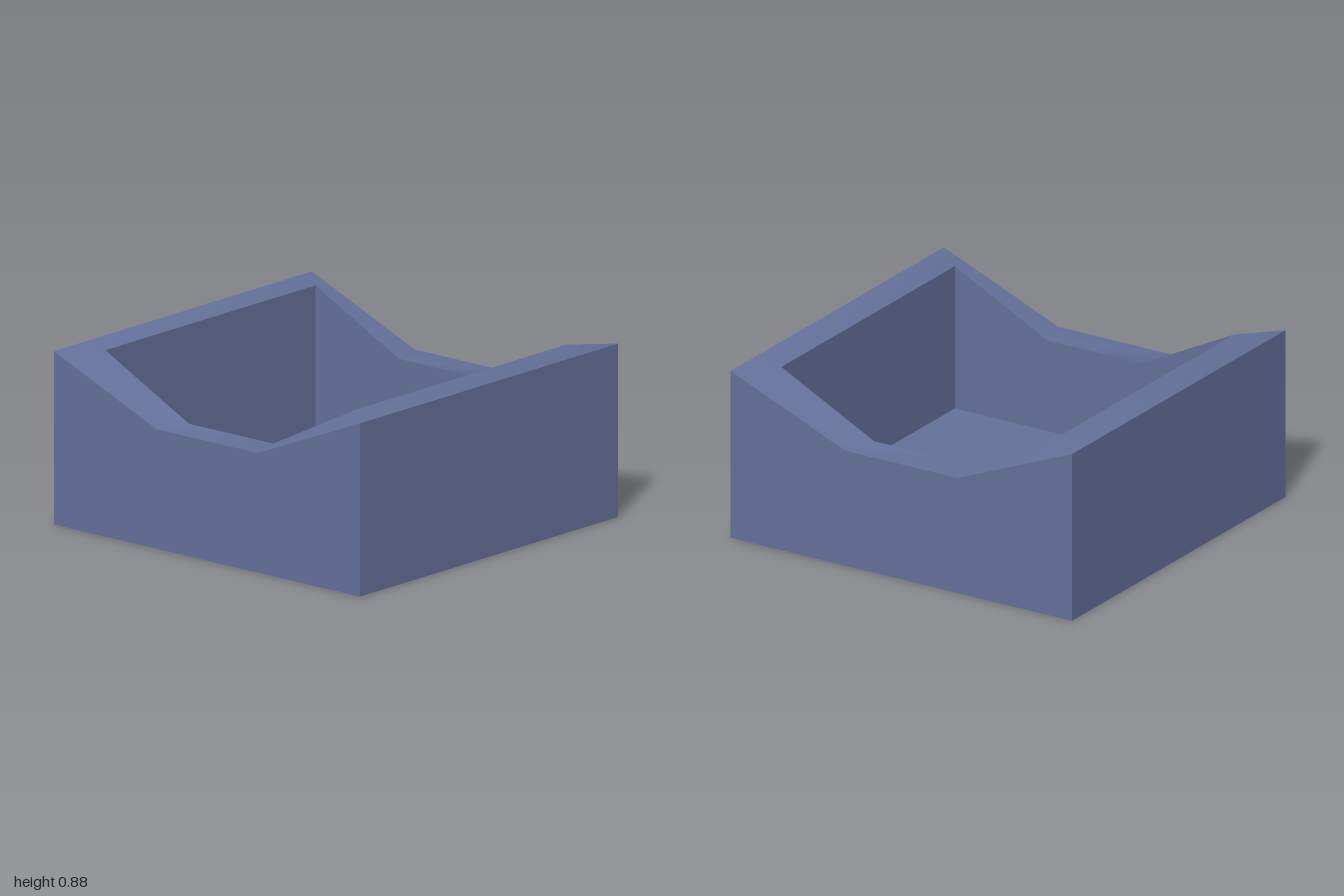
import * as THREE from 'three';

const TOP = 0.885, DIP = 0.61, FLOOR = 0.13;

// Closed loop of 8 points, counter-clockwise from above; the front and back dip in the middle
function ring(x, z, dipX, high, low) {
  const profile = [[-x, high], [-dipX, low], [dipX, low], [x, high]];
  return [
    ...profile.map(([px, py]) => [px, py, z]),
    ...profile.map(([px, py]) => [-px, py, -z]),
  ];
}

// Band of quads between two loops, facing outward when b lies above a
function band(a, b, smooth) {
  const n = a.length, index = [];
  for (let i = 0; i < n; i++) {
    const j = (i + 1) % n;
    index.push(i, j, n + j, i, n + j, n + i);
  }
  let geometry = new THREE.BufferGeometry();
  geometry.setAttribute('position', new THREE.Float32BufferAttribute([...a, ...b].flat(), 3));
  geometry.setIndex(index);
  if (!smooth) geometry = geometry.toNonIndexed();
  geometry.computeVertexNormals();
  return geometry;
}

export function createModel() {
  const group = new THREE.Group();
  group.name = 'notchedTray';
  const slateBlue = new THREE.MeshStandardMaterial({ color: 0x65719b });
  slateBlue.name = 'slateBlue';

  const add = (name, geometry) => {
    const mesh = new THREE.Mesh(geometry, slateBlue);
    mesh.name = name;
    group.add(mesh);
    return mesh;
  };

  const outerTop = ring(1, 0.965, 0.33, TOP, DIP);
  const innerTop = ring(0.82, 0.785, 0.275, TOP, DIP);
  const outerBase = ring(1, 0.965, 0.33, 0, 0);
  const innerBase = ring(0.82, 0.785, 0.275, FLOOR, FLOOR);

  // Walls are flat, the rim is softly shaded across its bends
  add('outerWalls', band(outerBase, outerTop, false));
  add('rim', band(outerTop, innerTop, true));
  add('innerWalls', band(innerTop, innerBase, false));

  // Recessed floor and closed underside
  add('floor', new THREE.PlaneGeometry(1.64, 1.57).rotateX(-Math.PI / 2)).position.y = FLOOR;
  add('underside', new THREE.PlaneGeometry(2, 1.93).rotateX(Math.PI / 2));

  return group;
}
